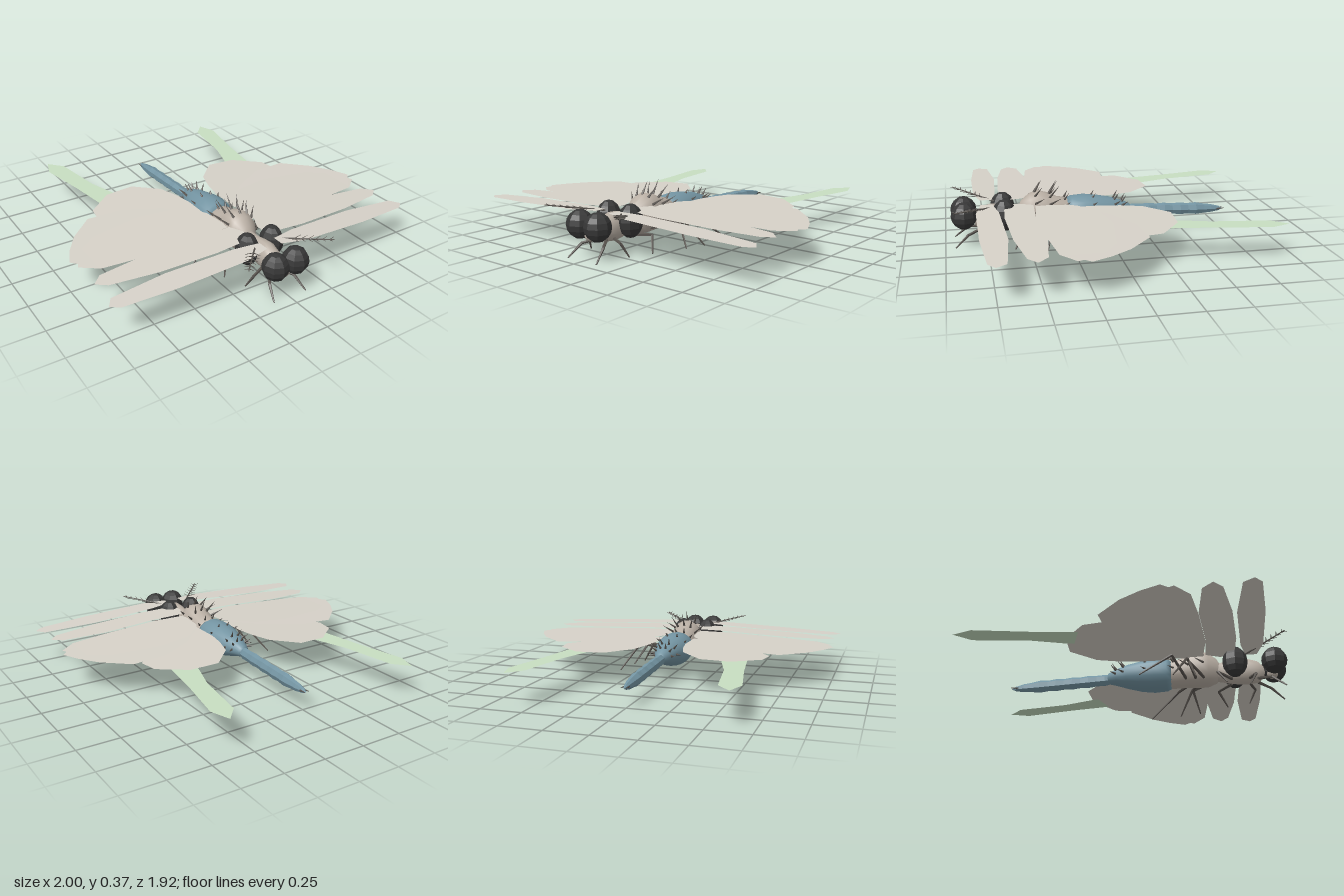
import * as THREE from 'three';

const paint = (color, extra = {}) => new THREE.MeshStandardMaterial({ color, ...extra });
const V = (x, y, z) => new THREE.Vector3(x, y, z);

// Smooth body from elliptical cross-sections [z, centreY, radiusX, radiusY], front to back
function loft(stations, sides) {
  const pos = [], idx = [];
  stations.forEach(([z, cy, rx, ry], i) => {
    for (let j = 0; j < sides; j++) {
      const t = (j / sides) * Math.PI * 2, k = (j + 1) % sides;
      pos.push(Math.cos(t) * rx, cy + Math.sin(t) * ry, z);
      if (i < stations.length - 1) {
        const a = i * sides + j, b = i * sides + k;
        idx.push(a, a + sides, b, b, a + sides, b + sides);
      }
    }
  });
  const g = new THREE.BufferGeometry();
  g.setAttribute('position', new THREE.Float32BufferAttribute(pos, 3));
  g.setIndex(idx);
  g.computeVertexNormals();
  return g;
}

// Flat membrane from an (x, z) outline, drooping towards its tip
function membrane(outline, side, rootY, droop) {
  const g = new THREE.ShapeGeometry(new THREE.Shape(outline.map(([x, z]) => new THREE.Vector2(x * side, z))));
  const p = g.attributes.position;
  for (let i = 0; i < p.count; i++) {
    const x = p.getX(i), z = p.getY(i);
    p.setXYZ(i, x, rootY - droop * Math.abs(x), z);
  }
  g.computeVertexNormals();
  return g;
}

// Tapered rod between two points
function rod(a, b, r0, r1, material, sides = 5) {
  const m = new THREE.Mesh(new THREE.CylinderGeometry(r1, r0, a.distanceTo(b), sides), material);
  m.position.copy(a).add(b).multiplyScalar(0.5);
  m.quaternion.setFromUnitVectors(V(0, 1, 0), b.clone().sub(a).normalize());
  return m;
}

export function createModel() {
  const model = new THREE.Group();
  const tan = paint(0xbab0a5);
  const blue = paint(0x7495a3);
  const blueFlat = paint(0x7495a3, { flatShading: true });
  const dark = paint(0x383838, { flatShading: true });
  const spineMat = paint(0x5a5550, { flatShading: true });
  const wingMat = paint(0xd6d1c8, { side: THREE.DoubleSide });
  const green = paint(0xc8dec1, { side: THREE.DoubleSide });

  const add = (name, geometry, material) => {
    const m = new THREE.Mesh(geometry, material);
    m.name = name;
    model.add(m);
    return m;
  };
  const group = (name) => {
    const g = new THREE.Group();
    g.name = name;
    model.add(g);
    return g;
  };

  // Body segments
  add('head', loft([
    [0.825, 0.15, 0.002, 0.002], [0.815, 0.15, 0.03, 0.04], [0.78, 0.155, 0.052, 0.07], [0.72, 0.16, 0.062, 0.083],
    [0.66, 0.16, 0.058, 0.08], [0.6, 0.16, 0.046, 0.07], [0.54, 0.165, 0.05, 0.062], [0.48, 0.17, 0.06, 0.07],
  ], 14), tan);
  add('thorax', loft([
    [0.56, 0.17, 0.03, 0.03], [0.53, 0.175, 0.06, 0.08], [0.48, 0.185, 0.092, 0.11], [0.43, 0.192, 0.1, 0.12],
    [0.37, 0.185, 0.09, 0.11], [0.31, 0.172, 0.088, 0.095], [0.25, 0.165, 0.09, 0.09], [0.2, 0.165, 0.06, 0.06],
  ], 14), tan);
  add('abdomen', loft([
    [0.255, 0.165, 0.003, 0.003], [0.25, 0.165, 0.09, 0.085], [0.22, 0.165, 0.107, 0.1], [0.14, 0.165, 0.113, 0.105],
    [0.06, 0.165, 0.105, 0.095], [-0.03, 0.168, 0.08, 0.075], [-0.1, 0.167, 0.055, 0.052],
    [-0.15, 0.162, 0.035, 0.035], [-0.17, 0.16, 0.003, 0.003],
  ], 16), blue);

  // Slim segmented tail with a gently rippling width
  const tail = [];
  for (let i = 0; i <= 12; i++) {
    const t = i / 12, taper = t > 0.8 ? 1 - (t - 0.8) * 2.8 : Math.min(1, 0.75 + t * 2);
    const r = 0.033 * taper * (i % 2 ? 1.05 : 0.93);
    tail.push([-0.12 - 0.63 * t, 0.155 - 0.03 * t, r, r * 1.15]);
  }
  add('tail', loft([[-0.11, 0.155, 0.002, 0.002], ...tail, [-0.775, 0.124, 0.002, 0.002]], 7), blueFlat);

  add('snout', new THREE.SphereGeometry(0.035, 10, 8), tan).position.set(0, 0.14, 0.87);

  // Backswept spines fanned over the back in rings: [z, centreY, rx, ry, count, length]
  const spines = group('spines');
  [[0.45, 0.19, 0.098, 0.117, 7, 0.085], [0.36, 0.183, 0.089, 0.107, 7, 0.1], [0.265, 0.168, 0.088, 0.092, 6, 0.05],
    [0.09, 0.165, 0.108, 0.098, 6, 0.035], [-0.05, 0.168, 0.074, 0.07, 6, 0.055],
    [-0.1, 0.167, 0.055, 0.052, 6, 0.05]].forEach(([z, cy, rx, ry, n, len]) => {
    for (let i = 0; i < n; i++) {
      const t = Math.PI * (0.02 + (0.96 * i) / (n - 1)), c = Math.cos(t), s = Math.sin(t);
      const base = V(c * rx * 0.95, cy + s * ry * 0.95, z);
      const tip = base.clone().add(V(c * 0.65, s * 0.85, -0.53).normalize().multiplyScalar(len));
      spines.add(rod(base, tip, 0.008, 0.0005, spineMat));
    }
  });

  // Wings as [name, root height, droop, (x, z) outline]
  const wings = [
    ['headWing', 0.255, 0.038, [[0.05, 0.71], [0.2, 0.68], [0.63, 0.66], [0.96, 0.69], [1, 0.75], [0.95, 0.79],
      [0.63, 0.815], [0.2, 0.815], [0.05, 0.78]]],
    ['foreWing', 0.25, 0.03, [[0.09, 0.465], [0.3, 0.475], [0.65, 0.45], [0.92, 0.48], [0.98, 0.54], [0.92, 0.59],
      [0.65, 0.635], [0.3, 0.655], [0.05, 0.64], [0.05, 0.55]]],
    ['upperWing', 0.234, 0.021, [[0.1, 0.25], [0.15, 0.18], [0.29, 0.04], [0.5, -0.08], [0.72, -0.1],
      [0.87, 0.04], [0.95, 0.16], [1, 0.27], [0.88, 0.41], [0.65, 0.45], [0.3, 0.43], [0.08, 0.36]]],
    ['middleWing', 0.242, 0.03, [[0.1, 0.25], [0.13, 0.2], [0.25, 0.09], [0.47, 0.05], [0.78, 0.1],
      [0.92, 0.2], [0.98, 0.34], [0.88, 0.42], [0.65, 0.45], [0.3, 0.475], [0.08, 0.45]]],
    ['hindWing', 0.225, 0.03, [[0.1, 0.25], [0.1, 0.05], [0.12, -0.07], [0.16, -0.2], [0.3, -0.34], [0.48, -0.33],
      [0.64, -0.2], [0.66, -0.08], [0.52, 0.06], [0.25, 0.22]]],
  ];
  const streamer = [[0.42, -0.29], [0.43, -0.34], [0.49, -0.53], [0.54, -0.87], [0.62, -0.96], [0.66, -0.84],
    [0.6, -0.52], [0.56, -0.24]];

  // Legs as [hip, knee, foot], front to back
  const legs = [
    [[0.03, 0.1, 0.78], [0.085, 0.08, 0.86], [0.11, 0.01, 0.94]],
    [[0.04, 0.1, 0.73], [0.125, 0.09, 0.765], [0.15, 0.01, 0.725]],
    [[0.04, 0.1, 0.62], [0.15, 0.1, 0.535], [0.2, 0.01, 0.59]],
    [[0.06, 0.11, 0.45], [0.22, 0.145, 0.37], [0.3, 0.015, 0.41]],
    [[0.06, 0.11, 0.4], [0.25, 0.155, 0.36], [0.33, 0.015, 0.28]],
    [[0.06, 0.11, 0.34], [0.28, 0.165, 0.27], [0.355, 0.015, 0.085]],
  ];

  for (const side of [1, -1]) {
    const label = side > 0 ? 'left' : 'right';

    // Faceted compound eyes
    const front = add(label + 'FrontEye', new THREE.SphereGeometry(1, 8, 8), dark);
    front.scale.set(0.077, 0.083, 0.079);
    front.position.set(side * 0.068, 0.197, 0.882);
    const rear = add(label + 'RearEye', new THREE.SphereGeometry(1, 8, 8), dark);
    rear.scale.set(0.067, 0.099, 0.077);
    rear.position.set(side * 0.085, 0.192, 0.643);

    for (const [name, y, droop, outline] of wings) {
      add(`${label} ${name}`, membrane(outline, side, y, droop), wingMat);
    }
    add(label + 'Streamer', membrane(streamer, side, 0.206, 0), green);

    // Feathered antenna
    const antenna = group(label + 'Antenna');
    const root = V(side * 0.06, 0.24, 0.69), end = V(side * 0.29, 0.282, 0.94);
    antenna.add(rod(root, end, 0.006, 0.003, spineMat));
    for (let i = 0; i < 6; i++) {
      const p = root.clone().lerp(end, 0.35 + i * 0.115), len = 0.052 - i * 0.004;
      antenna.add(rod(p, p.clone().add(V(side * len, 0.006, -len * 0.1)), 0.0035, 0.001, spineMat, 4));
      antenna.add(rod(p, p.clone().add(V(-side * len * 0.15, 0.006, len)), 0.0035, 0.001, spineMat, 4));
    }

    // Jointed legs
    legs.forEach((joints, i) => {
      const leg = group(`${label}Leg${i + 1}`);
      const [hip, knee, foot] = joints.map(([x, y, z]) => V(side * x, y, z));
      leg.add(rod(hip, knee, 0.01, 0.008, spineMat), rod(knee, foot, 0.009, 0.004, spineMat));
    });

    // Small prongs at the tail tip
    const prong = rod(V(side * 0.01, 0.125, -0.73), V(side * 0.016, 0.128, -0.785), 0.007, 0.001, spineMat);
    prong.name = label + 'TailProng';
    model.add(prong);
  }
  return model;
}
